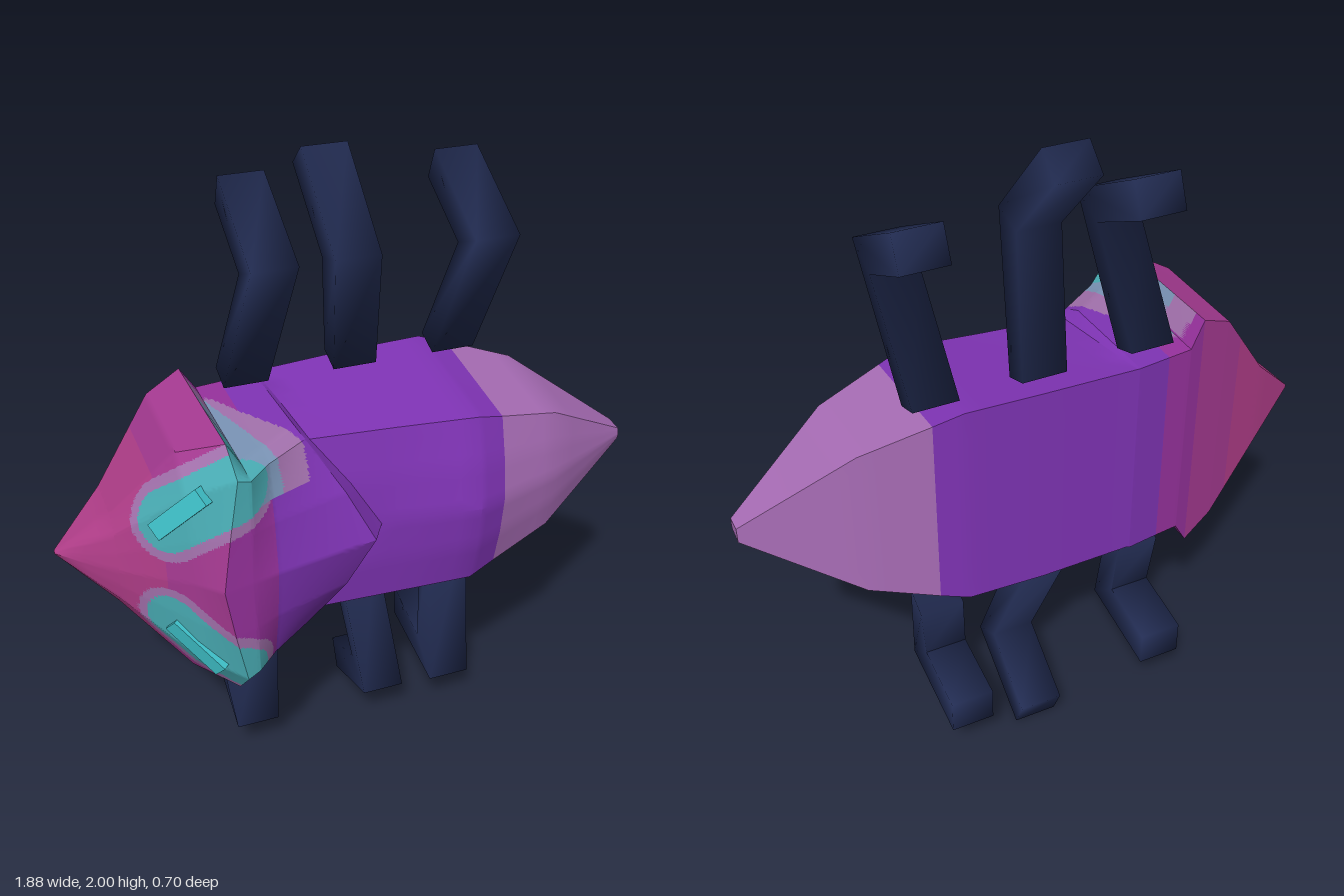
import * as THREE from 'three';
import { toCreasedNormals } from 'three/addons/utils/BufferGeometryUtils.js';

const mat = (name, color) => {
  const m = new THREE.MeshStandardMaterial({ color });
  m.name = name;
  return m;
};
const V = (x, y, z) => new THREE.Vector3(x, y, z);

// Skin between rings of points; cells(i) gives the divisions of each patch in span i.
function loft(rings, cells) {
  const tris = [];
  const n = rings[0].length;
  for (let i = 0; i < rings.length - 1; i++) {
    const m = cells(i);
    for (let j = 0; j < n; j++) {
      const k = (j + 1) % n;
      const at = (u, v) => rings[i][j].clone().lerp(rings[i][k], v)
        .lerp(rings[i + 1][j].clone().lerp(rings[i + 1][k], v), u);
      for (let a = 0; a < m; a++) {
        for (let b = 0; b < m; b++) {
          const p = at(a / m, b / m), q = at(a / m, (b + 1) / m);
          const r = at((a + 1) / m, b / m), s = at((a + 1) / m, (b + 1) / m);
          tris.push({ p: [p, q, s], seg: i }, { p: [p, s, r], seg: i });
        }
      }
    }
  }
  // End caps
  const first = rings[0], last = rings[rings.length - 1];
  for (let j = 1; j < n - 1; j++) {
    tris.push({ p: [first[0], first[j + 1], first[j]], seg: 0 });
    tris.push({ p: [last[0], last[j], last[j + 1]], seg: rings.length - 2 });
  }
  return tris;
}

// Mesh with one geometry group per material; pick(tri) gives the material index.
function buildMesh(name, tris, materials, pick, crease) {
  const bins = materials.map(() => []);
  for (const t of tris) bins[pick(t)].push(...t.p);
  const g = toCreasedNormals(new THREE.BufferGeometry().setFromPoints(bins.flat()), crease);
  let start = 0;
  bins.forEach((b, i) => {
    if (b.length) g.addGroup(start, b.length, i);
    start += b.length;
  });
  const mesh = new THREE.Mesh(g, materials);
  mesh.name = name;
  return mesh;
}

// Body cross-section: outer top/bottom, back and side depth, inner front edges, ridge depth.
// Without a side depth zC the sides run straight from back to front.
// dF and dM shift the front edges and the ridge along the body.
function section(x, yT, yB, zB, zC, yTF, yBF, zF, zM, dF = 0, dM = 0) {
  const yM = (yT + yB) / 2;
  const dH = dF + (dM - dF) * 0.55, zH = zF + (zM - zF) * 0.65;
  const backTop = V(x, yT, zB), frontTop = V(x + dF, yTF, zF);
  const backLow = V(x, yB, zB), frontLow = V(x + dF, yBF, zF);
  const side = (back, front) => (zC === null
    ? back.clone().lerp(front, 0.8) : V(x + dF * 0.5, back.y, zC));
  return [
    backTop, side(backTop, frontTop), frontTop,
    V(x + dH, yM + (yTF - yM) * 0.5, zH), V(x + dM, yM, zM),
    V(x + dH, yM + (yBF - yM) * 0.5, zH),
    frontLow, side(backLow, frontLow), backLow, V(x, yM, zB),
  ];
}

const [PINK, BERRY, ORCHID, PURPLE, MAUVE, TEAL, HAZE, HALO] = [0, 1, 2, 3, 4, 5, 6, 7];

function makeBody(materials) {
  const rings = [
    section(-0.94, 0.905, 0.895, -0.075, -0.07, 0.903, 0.897, -0.065, -0.062),
    section(-0.78, 1.06, 0.75, -0.135, 0.03, 1.02, 0.79, 0.08, 0.1),
    section(-0.60, 1.31, 0.56, -0.19, 0.17, 1.21, 0.65, 0.25, 0.28),
    section(-0.49, 1.36, 0.505, -0.22, 0.26, 1.28, 0.585, 0.33, 0.35, 0.02, -0.04),
    section(-0.44, 1.28, 0.59, -0.235, 0.25, 1.265, 0.60, 0.32, 0.335, 0.01, 0),
    section(-0.36, 1.28, 0.59, -0.245, 0.19, 1.265, 0.60, 0.25, 0.315),
    // rear edge of the shield, then its rim down to the abdomen
    section(-0.25, 1.285, 0.595, -0.265, 0.1, 1.265, 0.61, 0.155, 0.262, 0.03, 0.21),
    section(-0.24, 1.285, 0.6, -0.265, null, 1.25, 0.64, 0.135, 0.19, 0.04, 0.245),
    section(0.06, 1.298, 0.605, -0.275, null, 1.25, 0.65, 0.16, 0.2),
    section(0.31, 1.305, 0.615, -0.275, null, 1.25, 0.665, 0.19, 0.25),
    section(0.40, 1.278, 0.645, -0.26, null, 1.225, 0.695, 0.17, 0.222),
    section(0.61, 1.21, 0.715, -0.215, null, 1.17, 0.755, 0.12, 0.155),
    section(0.94, 0.975, 0.925, -0.085, null, 0.97, 0.93, -0.025, -0.02),
  ];
  // Centre lines of the teal patches around the eyes
  const patches = [
    new THREE.Line3(V(-0.65, 1.11, 0.2), V(-0.45, 1.25, 0.31)),
    new THREE.Line3(V(-0.64, 0.77, 0.2), V(-0.49, 0.61, 0.31)),
  ];
  const near = V(0, 0, 0);
  const pick = ({ p, seg }) => {
    const c = p[0].clone().add(p[1]).add(p[2]).divideScalar(3);
    const d = Math.min(...patches.map((l) => l.closestPointToPoint(c, true, near).distanceTo(c)));
    if (d < 0.095) return TEAL;
    // Rear faces of the crown flares
    if (seg === 3 && c.y > 1.285 && c.z > -0.17) {
      if (c.z > 0.14) return TEAL;
      return c.z > -0.05 ? HAZE : HALO;
    }
    if (seg === 3 && c.y < 0.585 && c.y > 0.53 && c.z > -0.1) return c.z > 0 ? TEAL : HAZE;
    // Upper shoulder behind the patch
    if (seg > 3 && c.y > 1.165 && c.z > -0.15) {
      if (c.x < -0.44 + 0.3 * (c.z + 0.15)) return HAZE;
      if (c.x < -0.42 + 0.6 * (c.z + 0.15) && c.x < -0.23) return HALO;
    }
    if (d < 0.125) return HALO;
    if (seg < 3) return c.x < -0.66 ? PINK : BERRY;
    if (seg < 5) return ORCHID;
    return seg < 10 ? PURPLE : MAUVE;
  };
  const tris = loft(rings, (i) => (i > 0 && i < 6 ? 20 : 4));
  return buildMesh('body', tris, materials, pick, 0.55);
}

// Bent leg: side outline as [z, y] pairs (outer, inner) and the x of base, knee and foot.
function makeLeg(name, xs, outline, upper, material) {
  const w = 0.07;
  const rings = outline.map(([o, i], k) => {
    const x = xs[k];
    const r = [V(x - w, o[1], o[0]), V(x + w, o[1], o[0]), V(x + w, i[1], i[0]), V(x - w, i[1], i[0])];
    return upper ? r : r.reverse();
  });
  return buildMesh(name, loft(rings, () => 1), [material], () => 0, 2);
}

// Raised eye bar lying along the line from a to b
function makeEye(name, a, b, out, material) {
  const dir = b.clone().sub(a);
  const mesh = new THREE.Mesh(new THREE.BoxGeometry(dir.length(), 0.055, 0.05), material);
  const ex = dir.clone().normalize();
  const ey = out.clone().cross(ex).normalize();
  const ez = ex.clone().cross(ey);
  mesh.quaternion.setFromRotationMatrix(new THREE.Matrix4().makeBasis(ex, ey, ez));
  mesh.position.copy(a).add(b).multiplyScalar(0.5);
  mesh.name = name;
  return mesh;
}

export function createModel() {
  const group = new THREE.Group();
  group.name = 'beetle';

  const bodyMats = [
    mat('head pink', 0xb23e8a), mat('head berry', 0xa63a92), mat('collar orchid', 0x98329e),
    mat('shell purple', 0x8034b6), mat('tail mauve', 0xaa6eb8), mat('patch teal', 0x4aaeb6),
    mat('patch haze', 0x7c96b8), mat('patch halo', 0xa472ae),
  ];
  const legMat = mat('leg navy', 0x222c52);
  const eyeMat = mat('eye cyan', 0x40c4cc);

  group.add(makeBody(bodyMats));

  group.add(makeEye('upperEye', V(-0.67, 1.08, 0.185), V(-0.55, 1.23, 0.285), V(-0.6, 0.3, 0.75), eyeMat));
  group.add(makeEye('lowerEye', V(-0.65, 0.76, 0.195), V(-0.53, 0.62, 0.285), V(-0.6, -0.3, 0.75), eyeMat));

  // Upper legs
  const upperOuter = [[[-0.16, 1.3], [-0.245, 1.33]], [[0.035, 1.74], [-0.09, 1.69]], [[-0.29, 1.91], [-0.335, 1.81]]];
  const upperMiddle = [upperOuter[0], [[0.035, 1.74], [-0.08, 1.71]], [[-0.19, 2.0], [-0.27, 1.93]]];
  group.add(makeLeg('upperFrontLeg', [-0.3, -0.255, -0.25], upperOuter, true, legMat));
  group.add(makeLeg('upperMiddleLeg', [0.05, -0.01, -0.03], upperMiddle, true, legMat));
  group.add(makeLeg('upperRearLeg', [0.38, 0.42, 0.425], upperOuter, true, legMat));

  // Lower legs
  const lowerOuter = [[[-0.16, 0.61], [-0.24, 0.57]], [[0.035, 0.13], [-0.085, 0.235]], [[-0.35, 0.14], [-0.35, 0.255]]];
  const lowerMiddle = [lowerOuter[0], [[0.035, 0.14], [-0.085, 0.21]], [[-0.29, 0.0], [-0.335, 0.1]]];
  group.add(makeLeg('lowerFrontLeg', [-0.295, -0.37, -0.34], lowerOuter, false, legMat));
  group.add(makeLeg('lowerMiddleLeg', [0.05, 0.08, 0.095], lowerMiddle, false, legMat));
  group.add(makeLeg('lowerRearLeg', [0.39, 0.325, 0.345], lowerOuter, false, legMat));

  return group;
}
